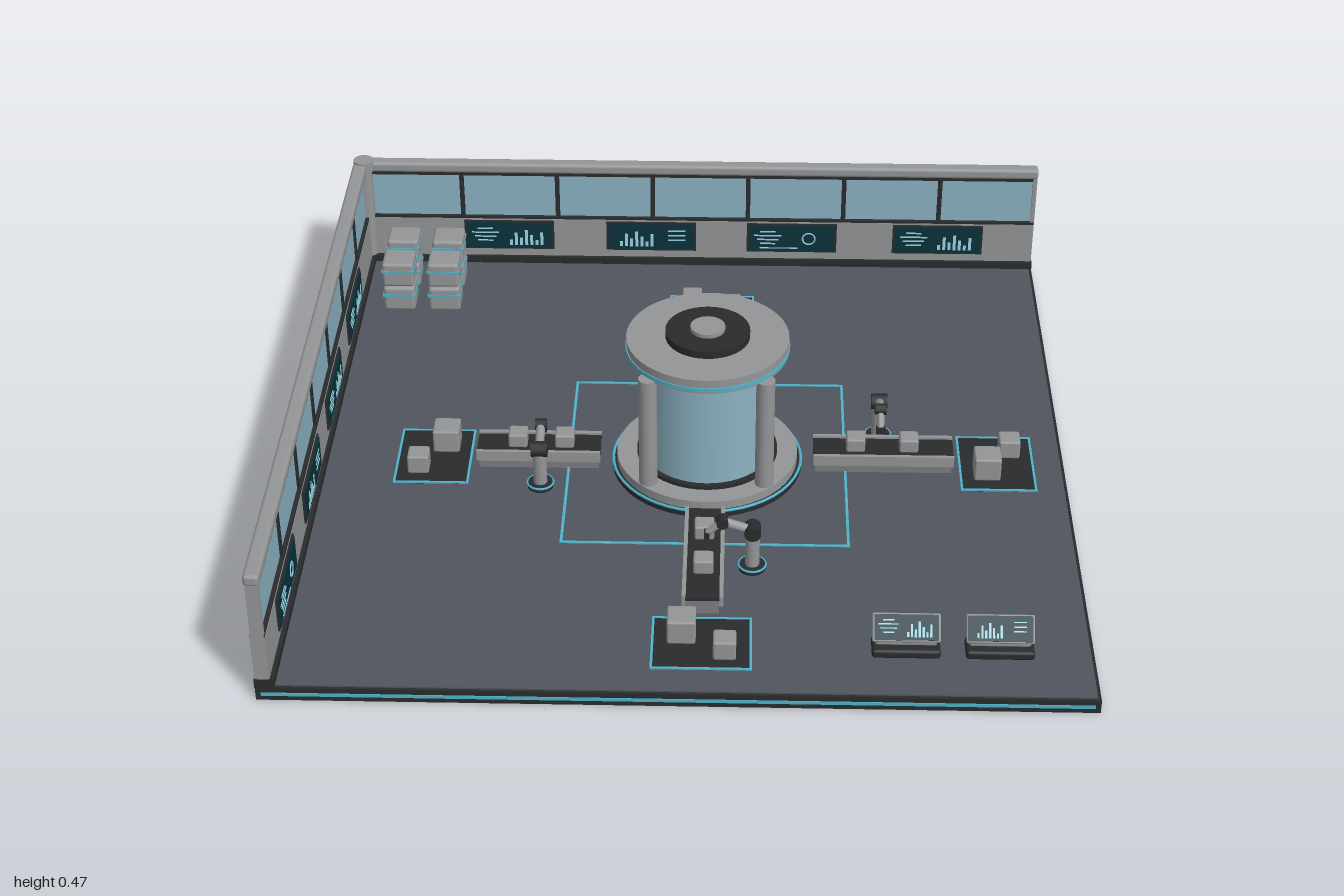
import * as THREE from 'three';
import { RoundedBoxGeometry } from 'three/addons/geometries/RoundedBoxGeometry.js';

const mat = (name, color, side = THREE.FrontSide) => {
  const m = new THREE.MeshStandardMaterial({ color, side });
  m.name = name;
  return m;
};

export function createModel() {
  const grey = mat('light grey metal', 0x949597);
  const midGrey = mat('mid grey metal', 0x7c7e81);
  const dark = mat('dark metal', 0x2a2b2d);
  const slate = mat('slate floor', 0x50565e);
  const cyan = mat('cyan trim', 0x4fb4cc);
  const teal = mat('dark teal screen', 0x0b313a);
  const glass = mat('blue glass', 0x8cb2c2);
  const pale = mat('pale cyan display', 0x9cd8e4);

  const root = new THREE.Group();
  root.name = 'factoryFloor';
  const FLOOR = 0.04;
  const C = 0.054; // centre of the machinery in x and z

  const group = (name, parent = root) => {
    const g = new THREE.Group();
    g.name = name;
    parent.add(g);
    return g;
  };
  const add = (parent, name, geo, m, x = 0, y = 0, z = 0) => {
    const mesh = new THREE.Mesh(geo, m);
    mesh.name = name;
    mesh.position.set(x, y, z);
    parent.add(mesh);
    return mesh;
  };
  const box = (p, name, m, w, h, d, x, y, z) => add(p, name, new THREE.BoxGeometry(w, h, d), m, x, y, z);
  const soft = (p, name, m, w, h, d, x, y, z, r = 0.006) =>
    add(p, name, new RoundedBoxGeometry(w, h, d, 2, r), m, x, y, z);
  const cyl = (p, name, m, r, y0, y1, x = 0, z = 0, seg = 32) =>
    add(p, name, new THREE.CylinderGeometry(r, r, y1 - y0, seg), m, x, (y0 + y1) / 2, z);
  // flat ring lying at height y
  const ring = (p, name, m, r, tube, x, y, z, seg = 40) => {
    const t = add(p, name, new THREE.TorusGeometry(r, tube, 6, seg), m, x, y, z);
    t.rotation.x = Math.PI / 2;
    return t;
  };
  // rectangular outline lying on the floor
  const outline = (p, name, x0, x1, z0, z1, y, t = 0.007) => {
    const w = x1 - x0, d = z1 - z0, cx = (x0 + x1) / 2, cz = (z0 + z1) / 2;
    for (const z of [z0, z1]) box(p, name, cyan, w + t, 0.004, t, cx, y, z);
    for (const x of [x0, x1]) box(p, name, cyan, t, 0.004, d - t, x, y, cz);
  };
  // rod between two points
  const rod = (p, name, m, a, b, r) => {
    const A = new THREE.Vector3(...a), B = new THREE.Vector3(...b);
    const mesh = add(p, name, new THREE.CylinderGeometry(r, r, A.distanceTo(B), 12), m);
    mesh.position.copy(A).lerp(B, 0.5);
    mesh.quaternion.setFromUnitVectors(new THREE.Vector3(0, 1, 0), B.sub(A).normalize());
  };

  // Floor slab with a light strip along the two open edges
  const floor = group('floor');
  box(floor, 'floorSlab', dark, 1.996, 0.036, 1.996, 0, 0.018, 0);
  box(floor, 'floorSurface', slate, 1.98, 0.005, 1.98, 0, 0.0375, 0);
  box(floor, 'frontLightStrip', cyan, 1.97, 0.009, 0.004, 0, 0.018, 0.998);
  box(floor, 'sideLightStrip', cyan, 0.004, 0.009, 1.97, 0.998, 0.018, 0);
  outline(floor, 'floorMarking', C - 0.365, C + 0.365, C - 0.365, C + 0.365, 0.041);

  // Contents of a display, drawn on a w by h plate facing +z
  const display = (p, w, h, kind) => {
    const mark = (bw, bh, x, y) => box(p, 'displayMark', pale, bw * w, bh * h, 0.002, x * w, y * h, 0.004);
    if (kind !== 1) {
      for (let i = 0; i < 4; i++) mark(0.18 + 0.07 * ((i * 2) % 3), 0.05, -0.28, 0.28 - i * 0.16);
    }
    if (kind === 0 || kind === 1) {
      for (let i = 0; i < 7; i++) {
        const bh = 0.2 + 0.1 * ((i * 3) % 5);
        mark(0.035, bh, (kind ? -0.35 : 0.02) + i * 0.06, -0.38 + bh / 2);
      }
    }
    if (kind === 1) for (let i = 0; i < 3; i++) mark(0.2, 0.05, 0.3, 0.25 - i * 0.18);
    if (kind === 2) {
      add(p, 'displayDial', new THREE.TorusGeometry(h * 0.22, 0.0025, 4, 20), pale, w * 0.2, 0, 0.004);
      mark(0.45, 0.04, -0.15, -0.38);
    }
  };

  // One wall along x, at the rear edge; used for both sides
  const wall = (name, mirrored) => {
    const w = group(name);
    const Z = -0.979, T = 0.04;
    box(w, 'baseboard', dark, 1.996, 0.025, T + 0.008, 0, 0.0485, Z + 0.004);
    box(w, 'lowerWall', grey, 1.99, 0.125, T - 0.004, 0, 0.1225, Z);
    box(w, 'windowSill', dark, 1.99, 0.008, T - 0.006, 0, 0.188, Z);
    box(w, 'windowGlass', glass, 1.98, 0.14, 0.014, 0, 0.26, Z);
    box(w, 'windowHead', dark, 1.99, 0.01, 0.03, 0, 0.333, Z);
    soft(w, 'topRail', grey, 1.996, 0.032, T, 0, 0.352, Z, 0.01);
    for (let i = 1; i <= 6; i++) box(w, 'mullion', dark, 0.013, 0.145, 0.026, -0.965 + i * 0.28, 0.26, Z);
    box(w, 'endPost', grey, 0.012, 0.3, 0.032, mirrored ? -0.99 : 0.99, 0.19, Z);
    [-0.55, -0.13, 0.285, 0.715].forEach((x, i) => {
      const s = group('wallScreen', w);
      s.position.set(mirrored ? -x : x, 0.133, Z + 0.022);
      box(s, 'screenFrame', dark, 0.265, 0.094, 0.006, 0, 0, -0.002);
      box(s, 'screenPlate', teal, 0.252, 0.084, 0.006, 0, 0, 0.0005);
      display(s, 0.252, 0.084, [0, 1, 2, 0][mirrored ? (i + 3) % 4 : i]);
    });
    return w;
  };
  wall('backWall', false);
  wall('sideWall', true).rotation.y = Math.PI / 2;
  cyl(root, 'cornerPost', grey, 0.024, 0.036, 0.345, -0.969, -0.969, 20);
  cyl(root, 'cornerPostCap', grey, 0.029, 0.34, 0.373, -0.969, -0.969, 20);

  // Central tank
  const tank = group('centralTank');
  tank.position.set(C, 0, C);
  cyl(tank, 'tankFoot', dark, 0.25, FLOOR, 0.056, 0, 0, 48);
  ring(tank, 'footLight', cyan, 0.248, 0.004, 0, 0.057, 0, 48);
  cyl(tank, 'tankPlinth', grey, 0.238, 0.056, 0.08, 0, 0, 48);
  cyl(tank, 'plinthCollar', dark, 0.185, 0.08, 0.09, 0, 0, 48);
  cyl(tank, 'tankGlass', glass, 0.17, 0.085, 0.398, 0, 0, 48);
  for (const x of [-0.15, 0.15]) for (const z of [-0.15, 0.15]) cyl(tank, 'tankPillar', grey, 0.024, 0.075, 0.4, x, z, 16);
  cyl(tank, 'tankCap', grey, 0.21, 0.396, 0.435, 0, 0, 48);
  cyl(tank, 'capLight', cyan, 0.2125, 0.403, 0.413, 0, 0, 48);
  cyl(tank, 'capHatch', dark, 0.109, 0.435, 0.455, 0, 0, 40);
  cyl(tank, 'hatchKnob', grey, 0.045, 0.455, 0.466, 0, 0, 28);

  // Four lines: conveyor span, loads and pad along the radial axis u
  const lines = [
    { name: 'right', axis: 'x', span: [0.334, 0.703], loads: [0.445, 0.585], pad: [0.722, 0.915],
      arm: [0.51, -0.067], turn: -Math.PI / 2, crates: [[0.79, 0.1, 0.07], [0.855, 0.005, 0.056]] },
    { name: 'front', axis: 'z', span: [0.334, 0.703], loads: [0.445, 0.585], pad: [0.722, 0.912],
      arm: [0.175, 0.512], turn: Math.PI, crates: [[0.005, 0.79, 0.07], [0.11, 0.855, 0.056]] },
    { name: 'left', axis: 'x', span: [-0.553, -0.227], loads: [-0.445, -0.322], pad: [-0.765, -0.573],
      arm: [-0.38, 0.175], turn: Math.PI / 2, crates: [[-0.64, 0.005, 0.07], [-0.705, 0.11, 0.056]] },
    { name: 'rear', axis: 'z', span: [-0.553, -0.227], loads: [-0.445, -0.322], pad: [-0.765, -0.575],
      arm: [-0.067, -0.385], turn: 0, crates: [[0.103, -0.643, 0.07], [-0.003, -0.705, 0.056]] },
  ];
  for (const L of lines) {
    const g = group(L.name + 'ProductionLine');
    const onX = L.axis === 'x';
    // box given by radial length/position and sideways width/offset
    const bar = (name, m, len, h, wid, u, y, v = 0) =>
      box(g, name, m, onX ? len : wid, h, onX ? wid : len, onX ? u : C + v, y, onX ? C + v : u);
    const len = L.span[1] - L.span[0], mid = (L.span[0] + L.span[1]) / 2;
    bar('conveyorBody', midGrey, len - 0.01, 0.044, 0.08, mid, 0.062);
    bar('conveyorBelt', dark, len, 0.008, 0.084, mid, 0.087);
    for (const s of [-1, 1]) bar('conveyorRail', grey, len, 0.03, 0.01, mid, 0.082, s * 0.046);
    for (const u of L.loads) {
      soft(g, 'conveyorLoad', grey, 0.05, 0.04, 0.05, onX ? u : C, 0.111, onX ? C : u);
    }
    // Delivery pad with crates
    const [a, b] = L.pad, p0 = C - 0.119, p1 = C + 0.119;
    bar('deliveryPad', dark, b - a, 0.006, 0.238, (a + b) / 2, 0.042);
    outline(g, 'padOutline', onX ? a : p0, onX ? b : p1, onX ? p0 : a, onX ? p1 : b, 0.0445, 0.006);
    for (const [x, z, s] of L.crates) soft(g, 'padCrate', grey, s, s * 0.95, s, x, 0.045 + s * 0.475, z);

    // Robot arm, reaching along its own +x
    const arm = group('robotArm', g);
    arm.position.set(L.arm[0], 0, L.arm[1]);
    arm.rotation.y = L.turn;
    cyl(arm, 'armBase', dark, 0.034, FLOOR, 0.054, 0, 0, 24);
    ring(arm, 'armBaseLight', cyan, 0.034, 0.003, 0, 0.052, 0, 24);
    cyl(arm, 'armPost', grey, 0.018, 0.054, 0.15, 0, 0, 16);
    rod(arm, 'shoulderJoint', dark, [0, 0.157, -0.021], [0, 0.157, 0.021], 0.021);
    rod(arm, 'upperLink', grey, [0, 0.157, 0], [0.075, 0.183, 0], 0.012);
    rod(arm, 'elbowJoint', dark, [0.075, 0.183, -0.015], [0.075, 0.183, 0.015], 0.015);
    rod(arm, 'foreLink', grey, [0.075, 0.183, 0], [0.112, 0.148, 0], 0.009);
    box(arm, 'gripper', dark, 0.014, 0.018, 0.024, 0.114, 0.143, 0);
  }

  // Stacked storage crates in the corner
  const storage = group('storageCrates');
  for (const x of [-0.847, -0.717]) for (const z of [-0.847, -0.717]) for (const k of [0, 1]) {
    const y = 0.08 + k * 0.079;
    soft(storage, 'storageCrate', grey, 0.09, 0.076, 0.09, x, y, z, 0.01);
    box(storage, 'crateBand', cyan, 0.093, 0.007, 0.093, x, y + 0.012, z);
  }

  // Two operator consoles facing the front
  [0.545, 0.77].forEach((x, i) => {
    const c = group('operatorConsole');
    c.position.set(x, 0, 0.825);
    soft(c, 'consoleBase', dark, 0.165, 0.024, 0.066, 0, 0.052, 0.003, 0.008);
    soft(c, 'consoleBody', grey, 0.15, 0.03, 0.04, 0, 0.075, -0.008, 0.008);
    const s = group('consoleScreen', c);
    s.position.set(0, 0.106, -0.004);
    s.rotation.x = -0.75;
    soft(s, 'consoleFrame', grey, 0.164, 0.07, 0.012, 0, 0, -0.007, 0.004);
    box(s, 'consolePlate', teal, 0.154, 0.062, 0.004, 0, 0, 0.0005);
    display(s, 0.154, 0.062, i);
  });

  return root;
}
